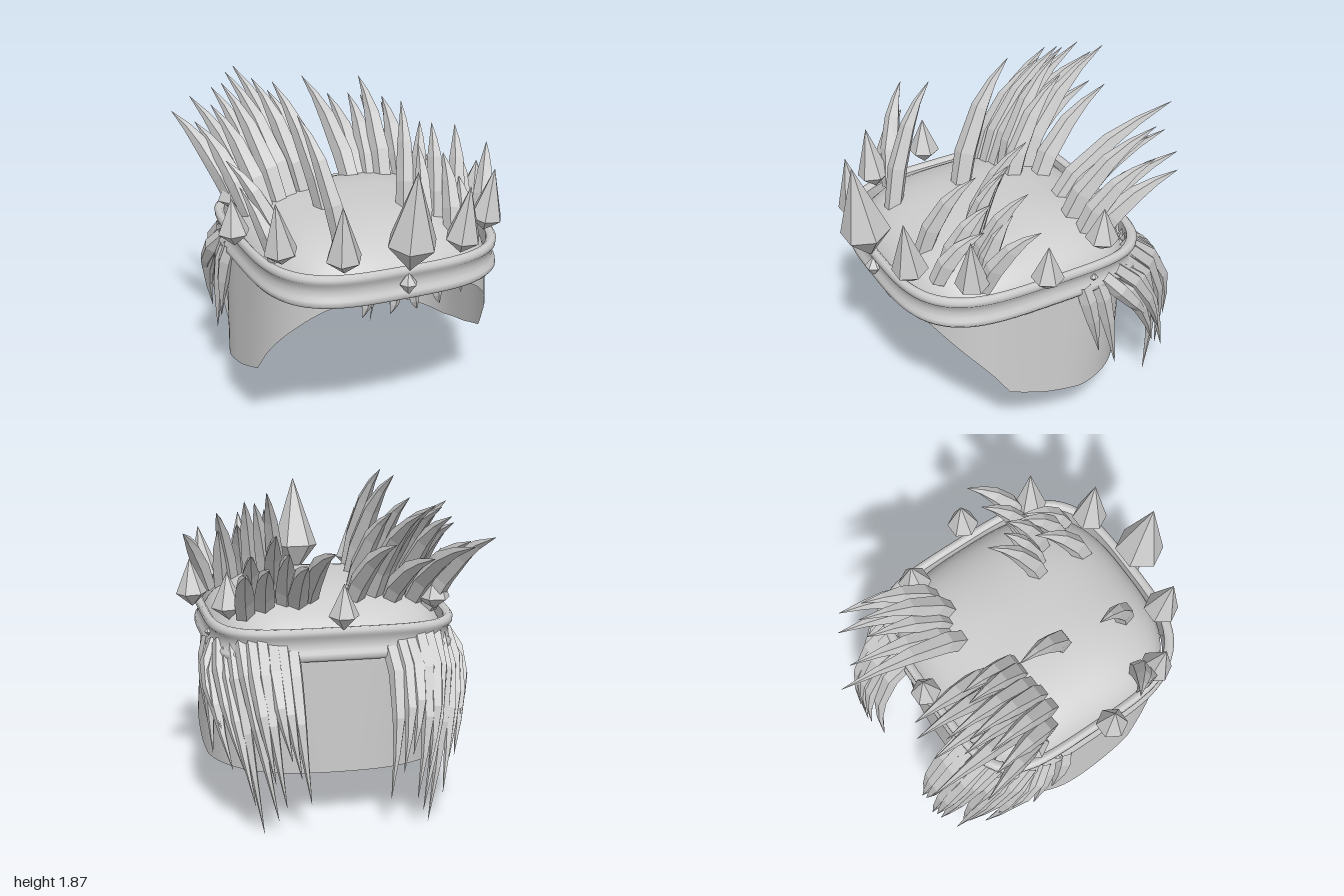
import * as THREE from 'three';

const grey = new THREE.MeshStandardMaterial({ color: 0xcccccc, side: THREE.DoubleSide });
grey.name = 'grey';

// Skin a list of closed rings (arrays of Vector3); flat gives faceted normals
function loft(rings, flat = false) {
  const n = rings[0].length, index = [];
  for (let r = 0; r < rings.length - 1; r++) {
    for (let i = 0; i < n; i++) {
      const a = r * n + i, b = r * n + (i + 1) % n;
      index.push(a, b, a + n, b, b + n, a + n);
    }
  }
  let geo = new THREE.BufferGeometry().setFromPoints(rings.flat());
  geo.setIndex(index);
  if (flat) geo = geo.toNonIndexed();
  geo.computeVertexNormals();
  return geo;
}

function add(parent, name, geo) {
  const mesh = new THREE.Mesh(geo, grey);
  mesh.name = name;
  parent.add(mesh);
  return mesh;
}

// Rounded-square plan of the head, with its own roundness at front and back
const CZ = 0.135, SEG = 112;
function outline(i, a, b, nFront, nBack) {
  const t = (i / SEG) * Math.PI * 2, c = Math.cos(t), s = Math.sin(t);
  const n = s > 0 ? nFront : nBack;
  const r = Math.pow(Math.pow(Math.abs(c / a), n) + Math.pow(Math.abs(s / b), n), -1 / n);
  return [c * r, s * r];
}
const ringOf = f => Array.from({ length: SEG }, (_, i) => f(i));

// Lower edge of the cap: high over the face, low at the nape
const EDGE = [[-1, 0.28], [-0.1, 0.28], [0.15, 0.34], [0.37, 0.42], [0.44, 0.53], [0.52, 0.63],
  [0.65, 0.78], [0.75, 0.9], [0.79, 0.935]];
function edgeY(z) {
  for (let k = 1; k < EDGE.length; k++) {
    const [z0, y0] = EDGE[k - 1], [z1, y1] = EDGE[k];
    if (z <= z1) return y0 + (y1 - y0) * (z - z0) / (z1 - z0);
  }
  return 0.935;
}

function capGeometry() {
  const rings = [];
  for (let k = 0; k <= 14; k++) {
    const s = Math.max(0.001, Math.sin((k / 14) * Math.PI / 2));
    const y = 0.95 + 0.31 * Math.pow(Math.max(0, 1 - Math.pow(s, 2.6)), 0.45);
    rings.push(ringOf(i => {
      const [x, z] = outline(i, 0.67, 0.68, 2.9, 3.4);
      return new THREE.Vector3(x * s, y, CZ + z * s);
    }));
  }
  // Side and nape walls, rounder lower down
  for (let k = 1; k <= 10; k++) {
    rings.push(ringOf(i => {
      const [x, z] = outline(i, 0.67, 0.68, 2.9, 3.4 - 0.08 * k);
      const y = 0.95 + (edgeY(CZ + z) - 0.95) * k / 10;
      return new THREE.Vector3(x * (1 + 0.08 * (0.95 - y)), y, CZ + z);
    }));
  }
  return loft(rings);
}

// Band section: outward offset and height, with a rolled rim above and below
const BAND = [[-0.03, 1.095], [-0.015, 1.112], [0.005, 1.112], [0.018, 1.095], [0.016, 1.07],
  [0.002, 1.055], [-0.004, 1.02], [0.002, 0.985], [0.016, 0.97], [0.018, 0.945],
  [0.005, 0.928], [-0.015, 0.928], [-0.03, 0.945], [-0.03, 1.095]];
const bandGeometry = () => loft(BAND.map(([o, y]) => ringOf(i => {
  const [x, z] = outline(i, 0.683 + o, 0.698 + o, 3.4, 4.6);
  return new THREE.Vector3(x, y, CZ + z);
})));

// Six-sided double-pointed stone standing on its lower point
function stone(parent, name, r, mid, height) {
  const pts = [[0.0005, 0], [r, mid], [0.0005, height]].map(p => new THREE.Vector2(...p));
  const geo = new THREE.LatheGeometry(pts, 6).rotateY(Math.PI / 6).toNonIndexed();
  geo.computeVertexNormals();
  return add(parent, name, geo);
}

// Curved, faceted, pointed lock of hair: a thick body bending into a straight point
const TAPER = [[0, 0.9], [0.3, 1], [0.6, 0.78], [0.8, 0.42], [1, 0.02]];
function lock(parent, name, root, ctrl, tip, w, d) {
  const curve = new THREE.QuadraticBezierCurve3(...[root, ctrl, tip].map(p => new THREE.Vector3(...p)));
  const side = new THREE.Vector3(1, 0, 0);
  const rings = TAPER.map(([t, k]) => {
    const p = curve.getPoint(t), dir = curve.getTangent(t);
    const u = side.clone().addScaledVector(dir, -side.dot(dir)).normalize();
    const v = dir.clone().cross(u);
    return [0, 1, 2, 3, 4].map(q => p.clone()
      .addScaledVector(u, Math.cos(q * Math.PI * 0.4 + 0.3) * w * k)
      .addScaledVector(v, Math.sin(q * Math.PI * 0.4 + 0.3) * d * k));
  });
  add(parent, name, loft(rings, true));
}

// Upright locks: root x, root z, tip x, tip y, tip z
const TOP = {
  rearRightHair: [
    [-0.19, 0.22, -0.36, 1.87, -0.2], [-0.14, -0.08, -0.28, 1.72, -0.5], [-0.2, -0.08, -0.37, 1.8, -0.52],
    [-0.22, -0.2, -0.37, 1.78, -0.84], [-0.29, -0.06, -0.46, 1.79, -0.72], [-0.36, -0.05, -0.52, 1.76, -0.62],
    [-0.4, -0.12, -0.56, 1.72, -0.68], [-0.45, -0.05, -0.61, 1.66, -0.55], [-0.46, -0.18, -0.62, 1.6, -0.92],
    [-0.53, -0.12, -0.7, 1.56, -0.58], [-0.56, -0.22, -0.8, 1.6, -0.7], [-0.1, -0.24, -0.24, 1.6, -0.78],
    [-0.32, -0.22, -0.44, 1.52, -0.8],
  ],
  rearLeftHair: [
    [0.14, -0.2, 0.13, 1.61, -1], [0.2, -0.26, 0.25, 1.52, -0.88], [0.26, -0.24, 0.32, 1.56, -0.72],
    [0.32, -0.18, 0.39, 1.66, -0.72], [0.38, -0.25, 0.45, 1.5, -0.83], [0.44, -0.22, 0.51, 1.54, -0.64],
    [0.49, -0.28, 0.56, 1.46, -0.76],
  ],
  frontLeftHair: [
    [0.2, 0.36, 0.31, 1.75, 0.06], [0.26, 0.38, 0.36, 1.67, 0.2], [0.18, 0.64, 0.28, 1.6, 0.35],
    [0.34, 0.46, 0.41, 1.67, 0.25], [0.38, 0.6, 0.44, 1.52, 0.34], [0.46, 0.46, 0.58, 1.62, 0.2],
    [0.52, 0.44, 0.56, 1.5, 0.28], [0.6, 0.48, 0.77, 1.5, 0.23], [0.42, 0.66, 0.5, 1.4, 0.42],
  ],
  frontRightHair: [
    [-0.26, 0.6, -0.4, 1.83, 0.28], [-0.54, 0.48, -0.8, 1.63, 0.27], [-0.61, 0.5, -0.74, 1.48, 0.3],
  ],
};

// Hanging locks on one side: root, tip, outward swing, backward swing
const HANGING = [
  [[0.67, 0.97, -0.1], [0.7, 0.5, -0.2], 0.045, 0.03], [[0.66, 0.95, -0.2], [0.69, 0.36, -0.32], 0.045, 0.03],
  [[0.66, 0.98, -0.24], [0.67, 0.58, -0.56], 0.11, 0.12], [[0.65, 0.94, -0.28], [0.62, 0.36, -0.62], 0.1, 0.16],
  [[0.64, 1, -0.32], [0.57, 0.38, -0.7], 0.05, 0.2], [[0.61, 0.97, -0.37], [0.52, 0.2, -0.76], 0.03, 0.22],
  [[0.58, 1, -0.41], [0.46, 0.005, -0.68], 0.02, 0.28], [[0.54, 1.04, -0.45], [0.4, 0.12, -0.8], 0.01, 0.3],
  [[0.49, 1.04, -0.48], [0.42, 0.34, -0.83], 0.02, 0.32], [[0.44, 1.04, -0.5], [0.36, 0.2, -0.83], 0.03, 0.32],
  [[0.38, 1.02, -0.5], [0.33, 0.46, -0.84], 0.04, 0.31], [[0.33, 1.02, -0.5], [0.28, 0.36, -0.84], 0.04, 0.31],
  [[0.27, 1, -0.5], [0.22, 0.2, -0.8], 0.04, 0.3],
];

export function createModel() {
  const model = new THREE.Group();
  model.name = 'spikyHairCrown';
  add(model, 'cap', capGeometry());
  add(model, 'crownBand', bandGeometry());

  // Crown stones: x, z, foot height, radius, widest height, total height
  const stones = [[0, 0.858, 1.1, 0.14, 0.17, 0.59], [0, -0.575, 1.1, 0.085, 0.08, 0.26]];
  for (const s of [-1, 1]) {
    stones.push([s * 0.34, 0.775, 1.11, 0.1, 0.09, 0.4], [s * 0.6, 0.545, 1.11, 0.095, 0.08, 0.37],
      [s * 0.73, 0.165, 1.09, 0.09, 0.08, 0.28], [s * 0.58, -0.265, 1.11, 0.095, 0.075, 0.27]);
  }
  for (const [x, z, y, r, mid, h] of stones) {
    const m = stone(model, 'crownStone', r, mid, h);
    const out = new THREE.Vector3(x, 0, z - CZ).normalize();
    m.position.set(x, y, z);
    m.quaternion.setFromAxisAngle(new THREE.Vector3(out.z, 0, -out.x), z > 0.5 ? 0.14 : 0.05);
  }

  // Small studs set in the band
  stone(model, 'frontStud', 0.05, 0.065, 0.13).position.set(0, 0.955, 0.845);
  for (const s of [-1, 1]) stone(model, 'sideStud', 0.025, 0.025, 0.05).position.set(s * 0.68, 0.995, -0.16);

  // Upright hair sweeping backwards
  for (const [name, rows] of Object.entries(TOP)) {
    const clump = new THREE.Group();
    clump.name = name;
    model.add(clump);
    const front = name.startsWith('front');
    for (const [x, z, tx, ty, tz] of rows) {
      const ctrl = [x + (tx - x) * 0.45, 1.12 + (ty - 1.12) * 0.72, z + (tz - z) * 0.25];
      lock(clump, 'lock', [x, 1.12, z], ctrl, [tx, ty, tz], front ? 0.052 : 0.06, front ? 0.06 : 0.068);
    }
  }

  // Hair hanging at the sides and nape
  for (const s of [-1, 1]) {
    const clump = new THREE.Group();
    clump.name = s > 0 ? 'hangingHairLeft' : 'hangingHairRight';
    model.add(clump);
    for (const [[x, y, z], [tx, ty, tz], out, back] of HANGING) {
      lock(clump, 'lock', [s * x, y, z], [s * (x + out), 0.85, z - back], [s * tx, ty, tz], 0.048, 0.05);
    }
    // Short wisps under the brow
    for (const [x, z, tip] of [[0.05, 0.79, 0.83], [0.2, 0.76, 0.82], [0.44, 0.55, 0.75]]) {
      lock(clump, 'browWisp', [s * x, 0.98, z], [s * x, 0.9, z + 0.01], [s * (x + 0.03), tip, z], 0.035, 0.03);
    }
  }
  return model;
}
